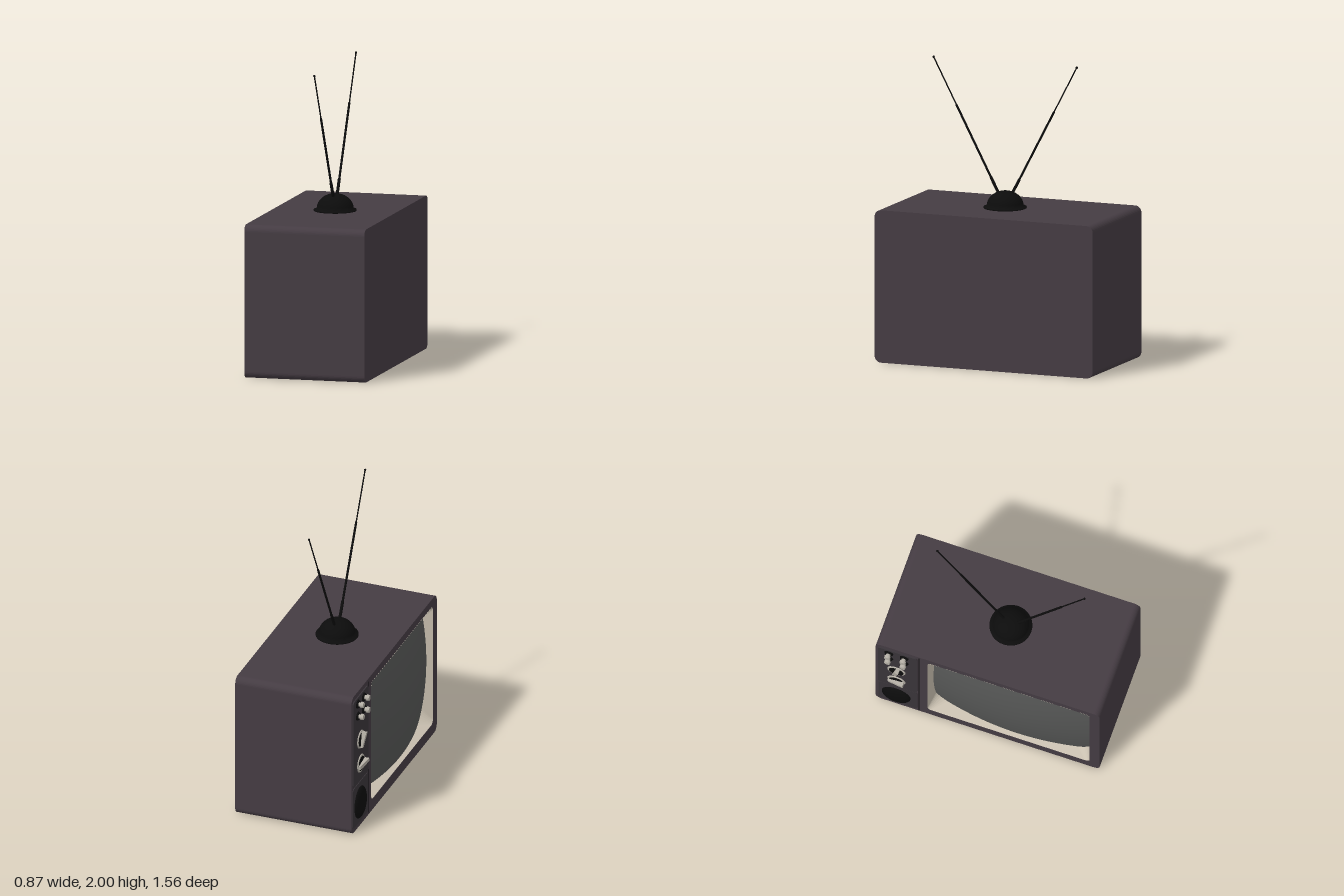
import * as THREE from 'three';

const mat = (name, color, side = THREE.FrontSide) => {
  const m = new THREE.MeshStandardMaterial({ color, side });
  m.name = name;
  return m;
};

// Outline of a rounded rectangle, always the same number of points
function roundedRect(x0, x1, y0, y1, r, n = 8) {
  const pts = [];
  const corners = [[x1 - r, y1 - r], [x0 + r, y1 - r], [x0 + r, y0 + r], [x1 - r, y0 + r]];
  corners.forEach(([cx, cy], i) => {
    for (let k = 0; k <= n; k++) {
      const a = (i + k / n) * Math.PI / 2;
      pts.push(new THREE.Vector2(cx + r * Math.cos(a), cy + r * Math.sin(a)));
    }
  });
  return pts;
}

// Open band of faces between two outlines at different depths
function loft(a, za, b, zb) {
  const pos = [], idx = [], n = a.length;
  a.forEach(p => pos.push(p.x, p.y, za));
  b.forEach(p => pos.push(p.x, p.y, zb));
  for (let i = 0; i < n; i++) {
    const j = (i + 1) % n;
    idx.push(i, n + i, j, j, n + i, n + j);
  }
  const g = new THREE.BufferGeometry();
  g.setAttribute('position', new THREE.Float32BufferAttribute(pos, 3));
  g.setIndex(idx);
  const flat = g.toNonIndexed();
  flat.computeVertexNormals();
  return flat;
}

export function createModel() {
  const plastic = mat('cabinet plastic', 0x453c43);
  const panelMat = mat('control panel', 0x3a353a);
  const black = mat('black', 0x0c0c0c);
  const cream = mat('cream bezel', 0xc9c0b0, THREE.DoubleSide);
  const metal = mat('knob metal', 0xb5b0a6);
  const glass = mat('screen glass', 0x565756);

  const model = new THREE.Group();
  model.name = 'television';
  const add = (parent, name, geo, material, x = 0, y = 0, z = 0) => {
    const m = new THREE.Mesh(geo, material);
    m.name = name;
    m.position.set(x, y, z);
    parent.add(m);
    return m;
  };

  // The set looks toward -x: local x runs along world z, local z points out of the screen
  const set = new THREE.Group();
  set.name = 'set';
  set.rotation.y = -Math.PI / 2;
  set.position.x = -0.39;
  model.add(set);

  const extrude = (pts, depth, hole) => {
    const s = new THREE.Shape(pts);
    if (hole) s.holes.push(new THREE.Path(hole));
    return new THREE.ExtrudeGeometry(s, { depth, bevelEnabled: false });
  };
  const disc = (r0, r1, h, n = 24) => new THREE.CylinderGeometry(r1, r0, h, n).rotateX(Math.PI / 2);

  // Cabinet with a window at the front
  const outline = roundedRect(-0.78, 0.78, 0, 1.02, 0.045);
  const opening = roundedRect(-0.42, 0.71, 0.08, 0.965, 0.03);
  add(set, 'cabinet', extrude(outline, 0.54), plastic, 0, 0, -0.82);
  add(set, 'frontFrame', extrude(outline, 0.28, opening), plastic, 0, 0, -0.28);

  // Bezel funnel leading in to the picture tube
  add(set, 'bezel', loft(
    roundedRect(-0.418, 0.708, 0.082, 0.963, 0.03), 0,
    roundedRect(-0.37, 0.665, 0.12, 0.925, 0.16), -0.16), cream);

  // Bulging screen, cut into its barrel outline by the bezel
  const screen = new THREE.PlaneGeometry(1.16, 0.92, 28, 22);
  screen.translate(0.145, 0.522, 0);
  const p = screen.attributes.position;
  for (let i = 0; i < p.count; i++) {
    const dx = p.getX(i) - 0.19, dy = p.getY(i) - 0.55;
    p.setZ(i, 0.02 - 0.24 * (dx * dx + dy * dy));
  }
  screen.computeVertexNormals();
  add(set, 'screen', screen, glass);

  // Control strip
  add(set, 'divider', new THREE.BoxGeometry(0.008, 0.98, 0.004), black, -0.477, 0.51, 0.001);
  add(set, 'controlPanel', extrude(roundedRect(-0.76, -0.49, 0.345, 0.985, 0.02), 0.008), panelMat);
  add(set, 'speakerPanel', extrude(roundedRect(-0.76, -0.49, 0.035, 0.33, 0.02), 0.004), panelMat);
  const speaker = new THREE.SphereGeometry(1, 32, 10, 0, Math.PI * 2, 0, Math.PI / 2);
  speaker.rotateX(Math.PI / 2).scale(0.1, 0.115, 0.033);
  add(set, 'speaker', speaker, black, -0.635, 0.18, 0.003);

  // Four push buttons
  for (const x of [-0.685, -0.578]) {
    for (const y of [0.94, 0.85]) {
      add(set, 'buttonCollar', disc(0.032, 0.026, 0.012), black, x, y, 0.012);
      add(set, 'buttonStem', disc(0.015, 0.015, 0.03), metal, x, y, 0.024);
      add(set, 'buttonCap', disc(0.022, 0.019, 0.018), metal, x, y, 0.042);
    }
  }

  // Two dials with wedge grips
  const wedge = new THREE.Shape([[-0.055, 0], [0.055, 0], [0.055, 0.033], [-0.055, 0.014]]
    .map(([a, b]) => new THREE.Vector2(a, b)));
  [[0.65, 1.35], [0.47, 0.15]].forEach(([y, turn]) => {
    const dial = new THREE.Group();
    dial.name = 'dial';
    dial.position.set(-0.632, y, 0.008);
    dial.rotation.z = turn;
    set.add(dial);
    add(dial, 'dialRing', disc(0.064, 0.06, 0.006, 32), metal, 0, 0, 0.003);
    add(dial, 'dialFace', disc(0.052, 0.05, 0.006, 32), black, 0, 0, 0.006);
    const grip = new THREE.ExtrudeGeometry(wedge, { depth: 0.026, bevelEnabled: false });
    grip.translate(0, 0, -0.013).rotateX(Math.PI / 2);
    add(dial, 'dialGrip', grip, metal, 0, 0, 0.007);
  });

  // Aerial base
  const antenna = new THREE.Group();
  antenna.name = 'antenna';
  antenna.position.set(0.02, 1.02, 0.02);
  model.add(antenna);
  const profile = [[0, 0], [0.142, 0], [0.142, 0.008], [0.122, 0.014]];
  for (let i = 1; i <= 8; i++) {
    const a = i / 8 * Math.PI / 2;
    profile.push([0.122 * Math.cos(a), 0.014 + 0.1 * Math.sin(a)]);
  }
  add(antenna, 'antennaBase', new THREE.LatheGeometry(profile.map(([r, y]) => new THREE.Vector2(Math.max(r, 0), y)), 32), black);

  // Telescopic rods, thinner toward the tip
  for (const side of [1, -1]) {
    const a = new THREE.Vector3(0, 0.07, side * 0.035);
    const b = new THREE.Vector3(0, 0.973, side * 0.512);
    const rod = new THREE.Group();
    rod.name = 'antennaRod';
    rod.position.copy(a);
    rod.quaternion.setFromUnitVectors(new THREE.Vector3(0, 1, 0), b.clone().sub(a).normalize());
    antenna.add(rod);
    const len = a.distanceTo(b);
    [[0, 0.14, 0.01], [0.14, 0.66, 0.0075], [0.66, 1, 0.0045]].forEach(([s, e, r]) =>
      add(rod, 'rodSection', new THREE.CylinderGeometry(r, r, (e - s) * len, 10), black, 0, (s + e) / 2 * len, 0));
    add(rod, 'rodTip', new THREE.SphereGeometry(0.008, 10, 8), black, 0, len, 0);
  }
  return model;
}
